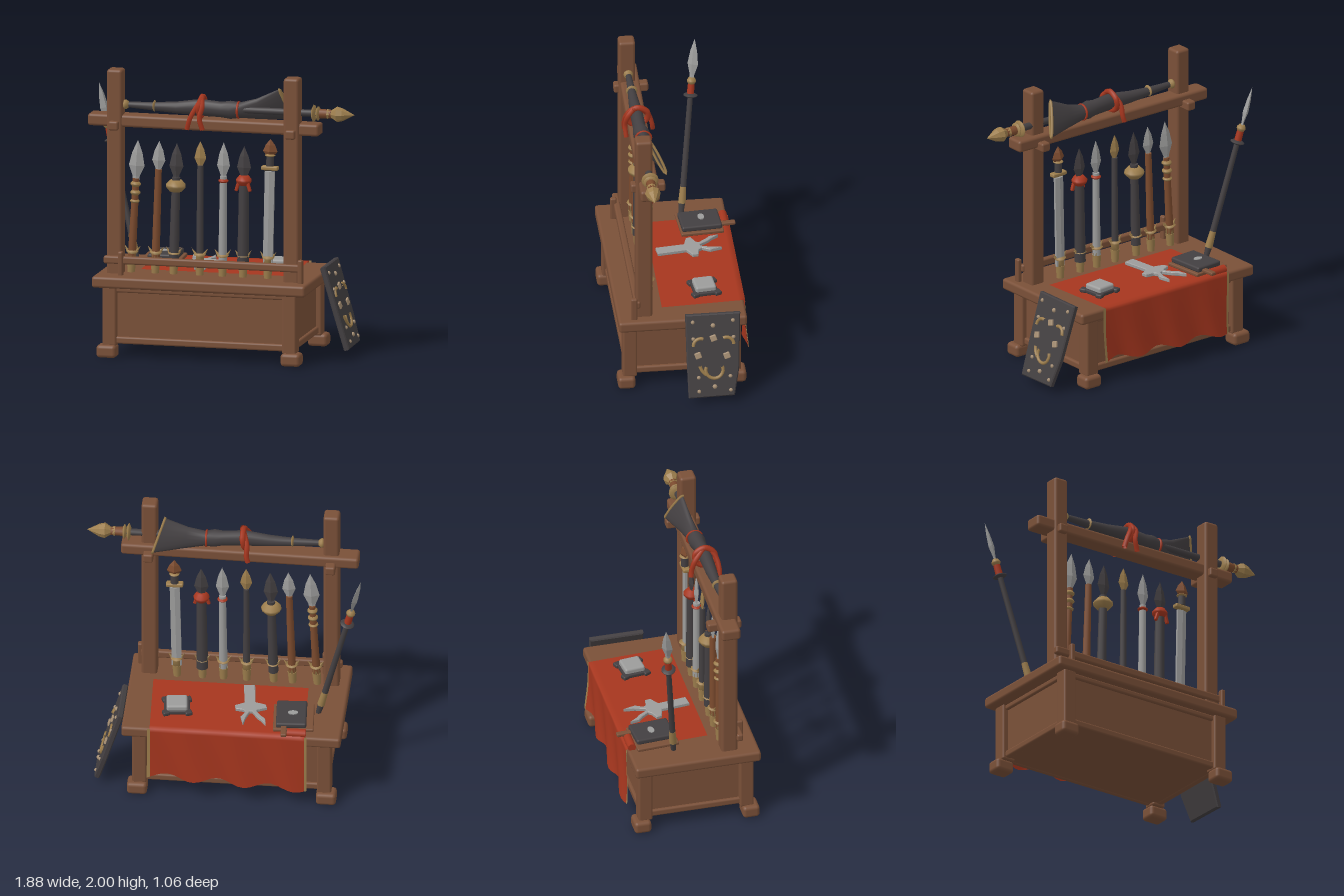
import * as THREE from 'three';
import { RoundedBoxGeometry } from 'three/addons/geometries/RoundedBoxGeometry.js';

const mat = (name, color, side = THREE.FrontSide) => {
  const m = new THREE.MeshStandardMaterial({ color, side });
  m.name = name;
  return m;
};

export function createModel() {
  const wood = mat('wood', 0x7a5038), shaftWood = mat('shaftWood', 0x7c4b2e);
  const silver = mat('silver', 0x9c9c9b), dark = mat('darkIron', 0x433f41, THREE.DoubleSide);
  const gold = mat('gold', 0x9c7d4c, THREE.DoubleSide), tan = mat('tan', 0xa48d72);
  const red = mat('redCloth', 0xa6361e, THREE.DoubleSide);

  const model = new THREE.Group();
  model.name = 'weaponRack';
  const rack = new THREE.Group();
  rack.name = 'rack';
  rack.position.set(-0.09, 0, -0.003);
  rack.rotation.y = -0.118;
  model.add(rack);

  const add = (parent, name, geo, m, x = 0, y = 0, z = 0) => {
    const mesh = new THREE.Mesh(geo, m);
    mesh.name = name;
    mesh.position.set(x, y, z);
    parent.add(mesh);
    return mesh;
  };
  const box = (parent, name, m, w, h, d, x, y, z, r = 0.014) =>
    add(parent, name, new RoundedBoxGeometry(w, h, d, 2, Math.min(r, w / 3, h / 3, d / 3)), m, x, y, z);
  const lathe = (pts, n) => new THREE.LatheGeometry(pts.map(p => new THREE.Vector2(...p)), n);
  const flat = g => { const f = g.toNonIndexed(); f.computeVertexNormals(); return f; };
  const outline = pts => new THREE.Shape(pts.map(p => new THREE.Vector2(...p)));
  const tube = (parent, name, m, pts, r, closed = false) =>
    add(parent, name, new THREE.TubeGeometry(
      new THREE.CatmullRomCurve3(pts.map(p => new THREE.Vector3(...p)), closed), 32, r, 6, closed), m);

  // Chest with framed panels, legs and feet
  box(rack, 'tableTop', wood, 1.52, 0.08, 0.89, 0.003, 0.53, 0, 0.02);
  box(rack, 'chestBody', wood, 1.3, 0.4, 0.74, 0, 0.3, 0, 0.005);
  for (const sx of [-1, 1]) {
    box(rack, 'sideRail', wood, 0.05, 0.05, 0.7, sx * 0.645, 0.12, 0);
    box(rack, 'sideTopRail', wood, 0.05, 0.04, 0.7, sx * 0.645, 0.475, 0);
    for (const sz of [-1, 1]) {
      box(rack, 'leg', wood, 0.1, 0.42, 0.1, sx * 0.64, 0.29, sz * 0.36);
      box(rack, 'foot', wood, 0.14, 0.09, 0.12, sx * 0.655, 0.045, sz * 0.385, 0.025);
    }
  }
  for (const sz of [-1, 1]) {
    box(rack, 'frameRail', wood, 1.24, 0.05, 0.04, 0, 0.12, sz * 0.37);
    box(rack, 'frameTopRail', wood, 1.24, 0.04, 0.04, 0, 0.475, sz * 0.37);
  }

  // Upright frame and lower rail
  for (const sx of [-1, 1]) {
    const z = 0.25 + sx * 0.012;
    box(rack, 'post', wood, 0.11, 1.45, 0.115, sx * 0.632, 1.275, z, 0.02);
    box(rack, 'peg', wood, 0.07, 0.065, 0.24, sx * 0.632, 1.61, z - 0.03);
  }
  const beam = box(rack, 'crossBeam', wood, 1.65, 0.085, 0.135, 0, 1.64, 0.225, 0.02);
  beam.rotation.y = -0.012;
  box(rack, 'lowerRail', wood, 1.4, 0.055, 0.045, 0, 0.67, 0.31);
  for (const x of [-0.575, 0.705])
    box(rack, 'railPost', wood, 0.035, 0.18, 0.045, x, 0.645, 0.335);

  // Diamond section blade with its base at y0 and its tip at y1
  const blade = (g, m, y0, y1, w, thick = 0.4) => {
    const h = y1 - y0;
    const geo = flat(lathe([[0, y0], [w * 0.4, y0], [w * 0.45, y0 + h * 0.12], [w, y0 + h * 0.38],
      [w * 0.65, y0 + h * 0.7], [0, y1]], 4));
    geo.scale(1, 1, thick);
    geo.computeVertexNormals();
    return add(g, 'blade', geo, m);
  };
  const rod = (g, name, m, r0, r1, y0, y1, n = 10) =>
    add(g, name, new THREE.CylinderGeometry(r1, r0, y1 - y0, n), m, 0, (y0 + y1) / 2, 0);
  const ring = (g, name, m, r, y, h) =>
    add(g, name, lathe([[0, y - h], [r * 0.6, y - h], [r, y - h * 0.2], [r, y + h * 0.2], [r * 0.6, y + h], [0, y + h]], 12), m);

  // Row of standing weapons: foot x, head x, radius, shaft, blade, blade base, tip, half width, [ring material, y, radius, half height]
  const weapons = [
    [-0.645, -0.595, 0.026, shaftWood, silver, 1.21, 1.5, 0.056,
      [[gold, 1.19, 0.036, 0.02], [gold, 1.13, 0.036, 0.02], [gold, 1.07, 0.034, 0.015]]],
    [-0.475, -0.445, 0.026, shaftWood, silver, 1.28, 1.5, 0.047, []],
    [-0.345, -0.32, 0.032, dark, dark, 1.23, 1.49, 0.05, [[gold, 1.19, 0.07, 0.04]]],
    [-0.16, -0.155, 0.023, dark, gold, 1.32, 1.51, 0.042, []],
    [0, 0.01, 0.027, silver, silver, 1.25, 1.51, 0.046, [[red, 1.24, 0.036, 0.014]]],
    [0.145, 0.155, 0.037, dark, dark, 1.25, 1.49, 0.05, [[red, 1.25, 0.055, 0.035]]],
  ];
  const stand = (name, x0, x1) => {
    const g = new THREE.Group();
    g.name = name;
    g.position.set((x0 + 0.115) / 0.993, 0.57, 0.205);
    g.rotation.z = -Math.atan2(x1 - x0, 0.93);
    rack.add(g);
    // Gold foot and pronged cup
    rod(g, 'footCap', gold, 0.026, 0.032, 0, 0.09);
    add(g, 'cup', lathe([[0, 0.08], [0.03, 0.08], [0.028, 0.13], [0.045, 0.15], [0, 0.16]], 8), gold);
    for (const s of [-1, 1]) {
      const prong = add(g, 'prong', new THREE.ConeGeometry(0.014, 0.06, 5), gold, s * 0.042, 0.165, 0);
      prong.rotation.z = -s * 0.6;
    }
    return g;
  };
  weapons.forEach(([x0, x1, r, shaft, head, y0, y1, w, rings], i) => {
    const g = stand('spear', x0, x1);
    rod(g, 'shaft', shaft, r * 1.1, r * 0.9, 0.08, y0 - 0.55);
    blade(g, head, y0 - 0.57, y1 - 0.57, w);
    for (const [m, y, rr, h] of rings) ring(g, 'band', m, rr, y - 0.57, h);
    if (i === 5) for (const s of [-1, 1])
      box(g, 'knotTail', red, 0.024, 0.07, 0.025, s * 0.04, y0 - 0.61, 0.02).rotation.z = s * 0.3;
  });

  // Sword standing point down
  const sword = stand('sword', 0.32, 0.34);
  const swordBlade = flat(new THREE.CylinderGeometry(0.04, 0.04, 0.66, 6));
  swordBlade.scale(1, 1, 0.45);
  swordBlade.computeVertexNormals();
  add(sword, 'swordBlade', swordBlade, silver, 0, 0.42, 0);
  box(sword, 'guard', gold, 0.12, 0.03, 0.05, 0, 0.775, 0);
  rod(sword, 'grip', dark, 0.028, 0.026, 0.79, 0.87);
  blade(sword, shaftWood, 0.84, 0.98, 0.052, 0.6);
  ring(sword, 'pommelBand', gold, 0.036, 0.865, 0.01);

  // Spear leaning at the back, from foot point to tip
  const foot = new THREE.Vector3(-0.645, 0.57, -0.205), tip = new THREE.Vector3(-0.935, 1.8, -0.37);
  const lean = new THREE.Group();
  lean.name = 'leaningSpear';
  lean.position.copy(foot);
  lean.quaternion.setFromUnitVectors(new THREE.Vector3(0, 1, 0), tip.clone().sub(foot).normalize());
  model.add(lean);
  rod(lean, 'footPoint', dark, 0.018, 0.024, 0, 0.09);
  rod(lean, 'footCap', gold, 0.027, 0.022, 0.08, 0.2);
  rod(lean, 'shaft', dark, 0.022, 0.019, 0.18, 0.88);
  ring(lean, 'collar', dark, 0.05, 0.865, 0.013);
  rod(lean, 'wrap', red, 0.026, 0.024, 0.88, 0.95);
  ring(lean, 'band', gold, 0.032, 0.97, 0.025);
  blade(lean, silver, 0.98, 1.276, 0.04, 0.5).rotation.y = 0.9;

  // Lance lying on the beam, lathed along x
  const lance = new THREE.Group();
  lance.name = 'lance';
  lance.position.set(0, 1.75, 0.232);
  lance.rotation.z = -Math.PI / 2;
  rack.add(lance);
  rod(lance, 'lanceShaft', dark, 0.02, 0.025, -0.57, 0.8);
  for (const [y, r, h] of [[-0.565, 0.033, 0.025], [-0.36, 0.04, 0.01], [0.775, 0.06, 0.014], [0.805, 0.05, 0.014]])
    ring(lance, 'lanceRing', gold, r, y, h);
  rod(lance, 'lanceNeck', shaftWood, 0.035, 0.03, 0.8, 0.9);
  add(lance, 'lanceTip', flat(lathe([[0, 0.87], [0.035, 0.87], [0.028, 0.9], [0.055, 0.94], [0.045, 0.98], [0, 1.065]], 8)), gold);

  // Rolled canvas flaring to a wide flat end: x, y, z, half height, half thickness, tilt
  const sections = [
    [-0.56, 1.75, 0.232, 0.02, 0.02, 0], [-0.36, 1.745, 0.232, 0.03, 0.028, 0],
    [-0.2, 1.745, 0.232, 0.042, 0.038, 0], [-0.03, 1.755, 0.232, 0.058, 0.045, 0],
    [0.12, 1.745, 0.23, 0.055, 0.045, 0], [0.18, 1.745, 0.225, 0.064, 0.058, 0],
    [0.25, 1.745, 0.215, 0.055, 0.045, 0.1], [0.38, 1.755, 0.195, 0.08, 0.03, 0.3],
    [0.56, 1.79, 0.155, 0.125, 0.014, 0.45]];
  const N = 16, verts = [], idx = [];
  sections.forEach(([x, y, z, h, t, tilt], i) => {
    for (let j = 0; j < N; j++) {
      const a = j / N * Math.PI * 2, u = Math.cos(a) * h, v = Math.sin(a) * t;
      verts.push([x - u * tilt * 0.7, y + u * Math.cos(tilt) - v * Math.sin(tilt), z + u * Math.sin(tilt) + v * Math.cos(tilt)]);
      const p = i * N + j, q = i * N + (j + 1) % N;
      if (i < sections.length - 1) idx.push(p, p + N, q, q, p + N, q + N);
    }
  });
  const canvas = new THREE.BufferGeometry();
  canvas.setAttribute('position', new THREE.Float32BufferAttribute(verts.flat(), 3));
  canvas.setIndex(idx);
  canvas.computeVertexNormals();
  add(rack, 'canvas', canvas, dark);
  tube(rack, 'canvasTrim', gold, verts.slice(-N), 0.009, true);

  // Red ribbon tied around the canvas
  tube(rack, 'ribbonLoop', red, [[-0.02, 1.83, 0.23], [-0.03, 1.77, 0.3], [-0.03, 1.69, 0.26], [-0.03, 1.72, 0.17], [-0.02, 1.79, 0.16]], 0.02, true);
  for (const path of [
    [[-0.01, 1.83, 0.25], [-0.05, 1.76, 0.3], [-0.09, 1.68, 0.315], [-0.11, 1.61, 0.31]],
    [[-0.02, 1.83, 0.25], [-0.005, 1.77, 0.3], [-0.02, 1.69, 0.315], [0, 1.61, 0.31]],
    [[-0.02, 1.83, 0.22], [-0.05, 1.75, 0.15], [-0.05, 1.67, 0.125], [-0.06, 1.63, 0.12]]])
    tube(rack, 'ribbonTail', red, path, 0.018);
  const tie = add(rack, 'canvasTie', new THREE.TorusGeometry(0.054, 0.008, 6, 16), red, 0.235, 1.745, 0.217);
  tie.rotation.y = Math.PI / 2;

  // Cloth over the top, hanging down the back
  const drape = (name, m, x0, x1, t0, lift) => {
    const g = new THREE.PlaneGeometry(1, 1, 28, 28), p = g.attributes.position;
    for (let i = 0; i < p.count; i++) {
      const x = x0 + (x1 - x0) * (p.getX(i) + 0.5), t = t0 + (1 - t0) * (0.5 - p.getY(i));
      const s = Math.max(0, (t - 0.5) * 2), front = Math.max(0, 1 - t * 2);
      const hem = 0.16 + 0.05 * x + 0.02 * Math.sin(x * 17);
      const z = t < 0.5 ? 0.13 - t * 2 * 0.582 : -0.452 - s * (0.008 + 0.016 * Math.sin(x * 19 + s * 3)) - lift;
      p.setXYZ(i, x + front * 0.03, t < 0.5 ? 0.577 + lift : 0.577 + (hem - 0.577) * s, z);
    }
    g.computeVertexNormals();
    add(rack, name, g, m);
  };
  drape('cloth', red, -0.51, 0.565, 0, 0);
  drape('clothFringe', gold, -0.523, -0.507, 0.5, 0.002);
  drape('clothFringe', gold, 0.56, 0.582, 0.5, 0.002);
  const roll = add(rack, 'clothRoll', new THREE.CylinderGeometry(0.03, 0.03, 0.13, 10), red, -0.45, 0.59, -0.415);
  roll.rotation.z = Math.PI / 2;

  // Book on a wooden tray
  const book = new THREE.Group();
  book.name = 'book';
  book.position.set(-0.4, 0.58, -0.245);
  book.rotation.y = 0.07;
  rack.add(book);
  box(book, 'tray', wood, 0.28, 0.025, 0.3, -0.015, 0.01, 0);
  box(book, 'trayStrip', wood, 0.04, 0.025, 0.14, 0.05, 0.03, -0.17);
  box(book, 'cover', dark, 0.21, 0.04, 0.28, 0, 0.04, 0);
  add(book, 'coverPlate', new THREE.CylinderGeometry(0.035, 0.035, 0.008, 10), silver, -0.01, 0.063, -0.01).scale.z = 0.65;

  // Flat silver dagger with antlered head
  const antlers = outline([[-0.035, -0.2], [0.035, -0.2], [0.033, 0.0], [0.075, 0.02], [0.1, 0.03], [0.1, 0.065], [0.045, 0.08],
    [0.03, 0.11], [0.065, 0.16], [0.055, 0.24], [0.04, 0.17], [0.008, 0.1], [-0.015, 0.1], [-0.05, 0.17], [-0.075, 0.2], [-0.1, 0.25],
    [-0.095, 0.19], [-0.07, 0.16], [-0.035, 0.1], [-0.05, 0.08], [-0.11, 0.06], [-0.105, 0.03], [-0.033, 0.0]]);
  const dagger = add(rack, 'antlerDagger', new THREE.ExtrudeGeometry(antlers, { depth: 0.018, bevelSize: 0.004, bevelThickness: 0.004, bevelSegments: 1 }), silver, -0.1, 0.585, -0.113);
  dagger.rotation.set(-Math.PI / 2, 0, 0.12);

  // Buckle with concave clawed base
  const buckle = new THREE.Group();
  buckle.name = 'buckle';
  buckle.position.set(0.4, 0.59, -0.185);
  buckle.rotation.y = 0.11;
  rack.add(buckle);
  box(buckle, 'buckleBase', dark, 0.18, 0.03, 0.17, 0, 0, 0);
  for (const sx of [-1, 1]) for (const sz of [-1, 1])
    box(buckle, 'claw', dark, 0.05, 0.03, 0.05, sx * 0.077, 0, sz * 0.077).rotation.y = 0.3;
  box(buckle, 'buckleFace', silver, 0.145, 0.05, 0.145, 0, 0.025, 0, 0.016);

  // Shield leaning on the side, built facing z and turned to face x
  const shield = new THREE.Group();
  shield.name = 'shield';
  shield.position.set(0.858, 0.33, -0.2);
  shield.rotation.z = 0.29;
  rack.add(shield);
  const face = new THREE.Group();
  face.rotation.y = Math.PI / 2;
  shield.add(face);
  const plate = outline([[-0.175, -0.29], [0.13, -0.285], [0.165, -0.1], [0.185, 0.295], [-0.18, 0.295], [-0.18, 0]]);
  add(face, 'shieldPlate', new THREE.ExtrudeGeometry(plate, { depth: 0.025, bevelSize: 0.008, bevelThickness: 0.008, bevelSegments: 1 }), dark, 0, 0, -0.012);
  // Crescents and studs
  for (const [x, y, r, start, len] of [[-0.09, 0.08, 0.05, 1.2, 2], [0.09, 0.08, 0.05, 0, 2], [0, -0.1, 0.06, 2.7, 4], [0, -0.05, 0.1, 3.3, 0.8]])
    add(face, 'crescent', new THREE.TorusGeometry(r, 0.012, 6, 14, len), gold, x, y, 0.022).rotation.z = start;
  for (const [x, y] of [[0.09, 0], [-0.11, 0.01], [0, 0.13]])
    box(face, 'squareStud', tan, 0.045, 0.045, 0.02, x, y, 0.024).rotation.z = 0.3;
  for (const sx of [-1, 1]) for (const y of [-0.25, -0.15, 0.13, 0.25])
    add(face, 'stud', new THREE.SphereGeometry(0.014, 8, 6), tan, sx * (y > 0 ? 0.14 : 0.11), y, 0.02);
  for (const y of [-0.22, 0.22])
    add(face, 'stud', new THREE.SphereGeometry(0.017, 8, 6), tan, 0, y, 0.02);

  return model;
}
